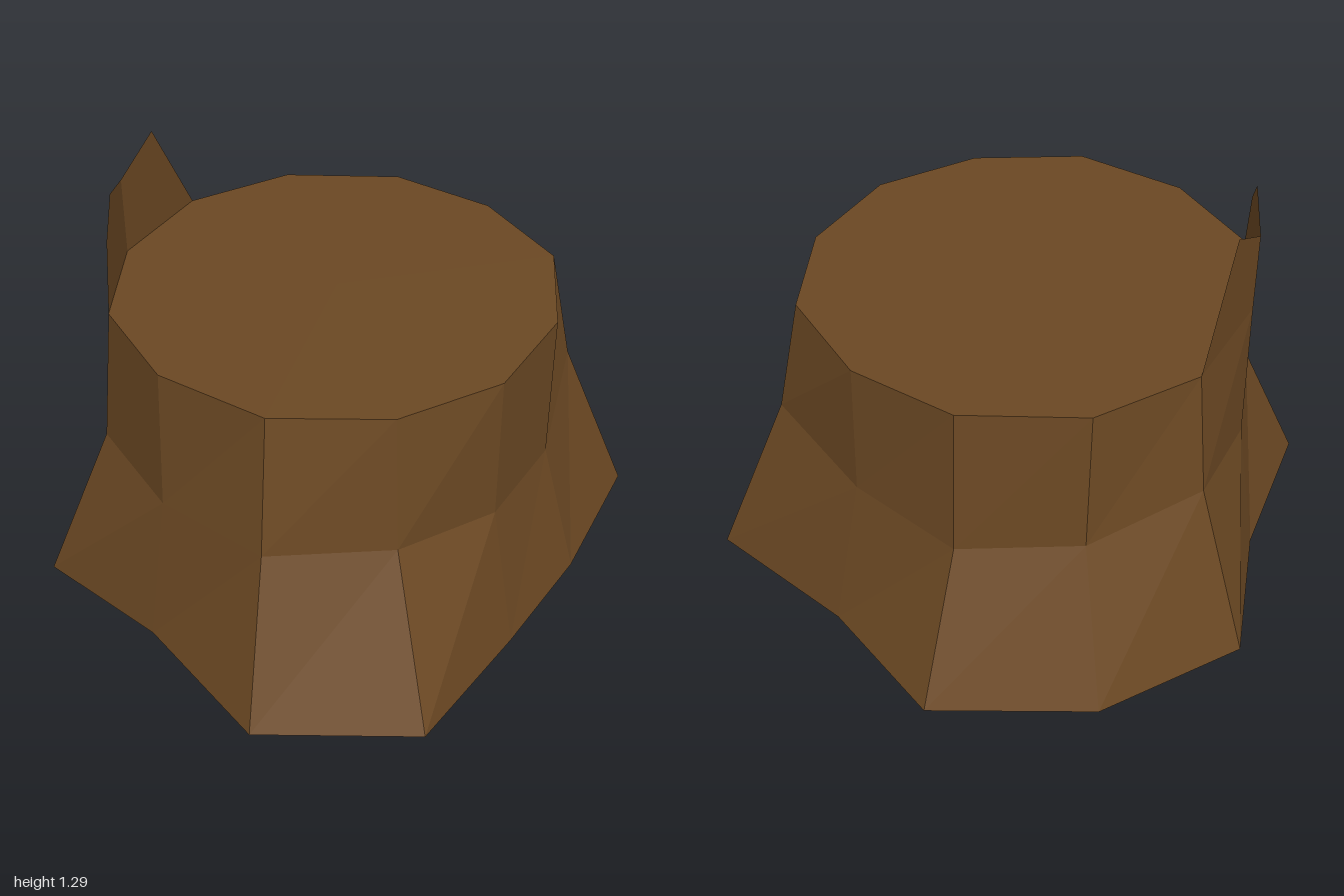
import * as THREE from 'three';

// Cross-sections, clockwise from the back as [x, y, z]
const base = [
  [0, 0, -1], [0.38, 0, -0.72], [0.86, 0, -0.5], [0.78, 0, 0], [0.66, 0, 0.4], [0.5, 0, 0.86],
  [0, 0, 1], [-0.43, 0, 0.69], [-0.86, 0, 0.5], [-0.81, 0, -0.02], [-0.86, 0, -0.5], [-0.5, 0, -0.86],
];
const middle = [
  [-0.03, 0.46, -0.77], [0.32, 0.49, -0.63], [0.65, 0.56, -0.41], [0.66, 0.45, -0.01],
  [0.57, 0.45, 0.33], [0.345, 0.5, 0.63], [-0.025, 0.5, 0.77], [-0.39, 0.49, 0.62],
  [-0.69, 0.485, 0.35], [-0.74, 0.47, -0.02], [-0.69, 0.54, -0.41], [-0.4, 0.48, -0.67],
];
const rim = [
  [-0.03, 0.94, -0.735], [0.31, 0.94, -0.63], [0.58, 0.94, -0.38], [0.66, 0.935, -0.02],
  [0.57, 0.935, 0.33], [0.32, 0.935, 0.58], [-0.03, 0.94, 0.685], [-0.39, 0.94, 0.58],
  [-0.65, 0.94, 0.33], [-0.735, 0.94, -0.02], [-0.65, 0.94, -0.38], [-0.4, 0.94, -0.64],
];

function facets(triangles) {
  const geometry = new THREE.BufferGeometry();
  geometry.setAttribute('position', new THREE.Float32BufferAttribute(triangles.flat(2), 3));
  geometry.computeVertexNormals();
  return geometry;
}

// Band of outward-facing quads between two rings
function band(low, high) {
  const tris = [];
  low.forEach((a, i) => {
    const j = (i + 1) % low.length;
    tris.push([a, high[i], low[j]], [low[j], high[i], high[j]]);
  });
  return facets(tris);
}

// Fan of triangles from one point along an outline
function fan(center, outline) {
  return facets(outline.slice(1).map((p, i) => [center, p, outline[i]]));
}

export function createModel() {
  const bark = new THREE.MeshStandardMaterial({ color: 0x6b4823, flatShading: true, side: THREE.DoubleSide });
  bark.name = 'brown bark';
  const model = new THREE.Group();
  model.name = 'treeStump';
  const add = (name, geometry) => {
    const mesh = new THREE.Mesh(geometry, bark);
    mesh.name = name;
    model.add(mesh);
  };

  // Flared roots and trunk, open underneath
  add('flaredRoots', band(base, middle));
  add('trunk', band(middle, rim));

  // Flat cut top
  add('cutTop', fan([-0.035, 0.94, -0.025], [...rim, rim[0]]));

  // Jagged splinter continuing two wall panels above the cut
  const foot = rim[9];
  const notch = [-0.735, 1.2, -0.02];
  add('frontSplinter', fan(foot, [notch, [-0.69, 1.255, 0.16], [-0.667, 1.15, 0.26], rim[8]]));
  add('backSplinter', fan(foot, [rim[10], [-0.695, 1.29, -0.19], notch]));

  return model;
}
